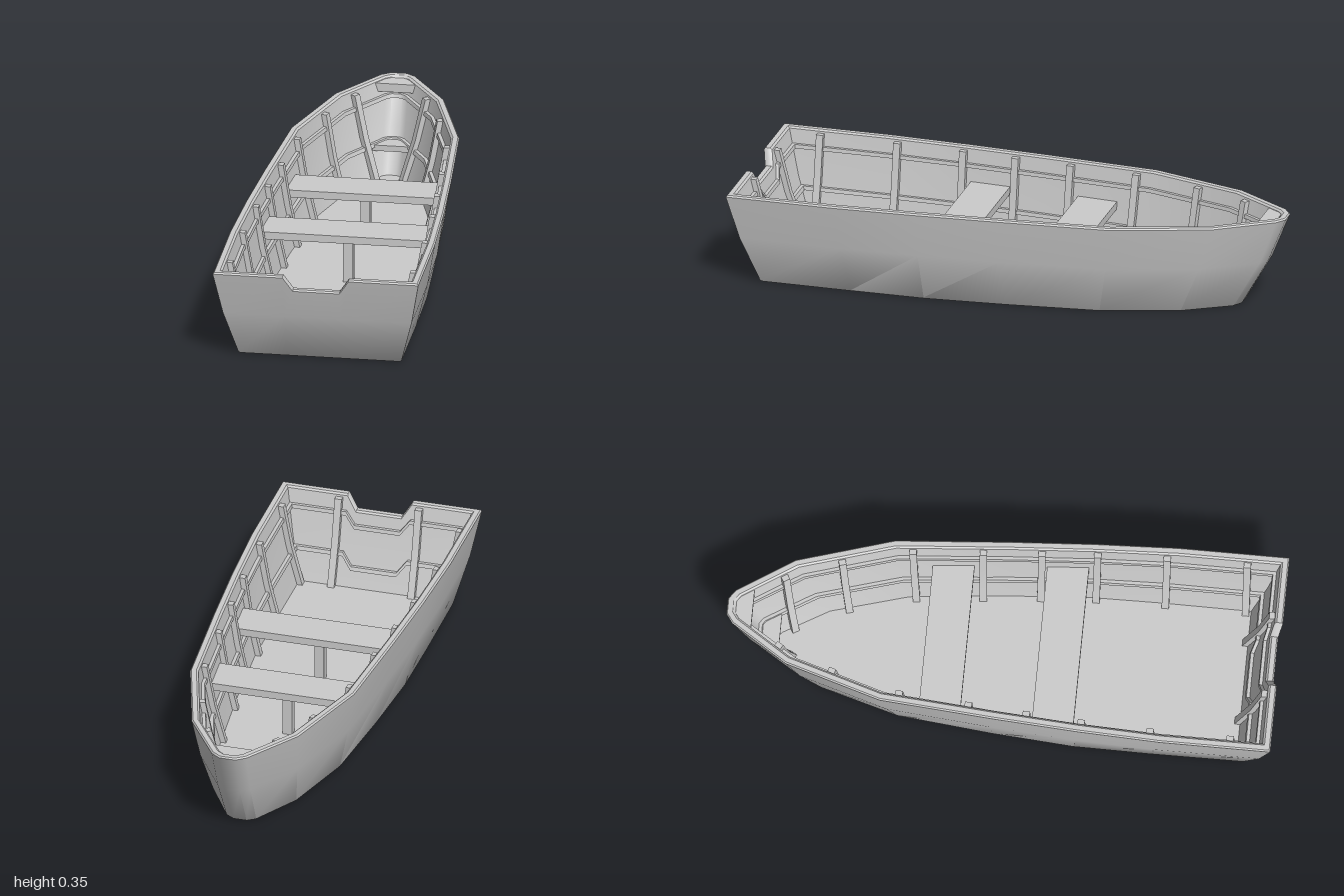
import * as THREE from 'three';
import { toCreasedNormals } from 'three/addons/utils/BufferGeometryUtils.js';

const H = 0.35, WALL = 0.03, FLOOR = 0.025;
const material = new THREE.MeshStandardMaterial({ color: 0xcccccc, roughness: 0.8 });
const lerp = THREE.MathUtils.lerp;

// Half outline from stern to bow: x, z at the gunwale, then x, z at the bottom
const stations = [
  [0.375, 1, 0.295, 0.89], [0.375, 0.6, 0.297, 0.55], [0.362, 0.3, 0.295, 0.28],
  [0.342, 0, 0.272, -0.02], [0.308, -0.42, 0.236, -0.36], [0.2, -0.77, 0.155, -0.64],
  [0.065, -0.975, 0.055, -0.81], [0.03, -1, 0.025, -0.83],
];
// Full outline: left side, bow, right side, then the transom with its notch
const mirrored = [...stations].reverse().map(([a, b, c, d]) => [-a, b, -c, d]);
const transom = [-0.12, -0.085, 0.085, 0.12].map((x) => [x, 1, x, 0.89]);
const columns = [...stations, ...mirrored, ...transom];
const N = columns.length;
const inNotch = (i) => i % N === 17 || i % N === 18;

// Flare of the sides: 0 at the bottom, 1 at the gunwale, slightly convex
const flare = (y) => (y < 0.18 ? (y / 0.18) * 0.6 : 0.6 + ((y - 0.18) / 0.17) * 0.4);

// Outline at height y, moved inward by an inset; returns [x, z] pairs
function ring(y, inset) {
  const t = flare(y);
  const p = columns.map(([a, b, c, d]) => [lerp(c, a, t), lerp(d, b, t)]);
  const normal = (i) => {
    const a = p[(i + N) % N], b = p[(i + 1) % N];
    const dx = b[0] - a[0], dz = b[1] - a[1], l = Math.hypot(dx, dz);
    return [dz / l, -dx / l];
  };
  return p.map(([x, z], i) => {
    const m = normal(i - 1), n = normal(i);
    const k = inset / (1 + m[0] * n[0] + m[1] * n[1]);
    return [x + (m[0] + n[0]) * k, z + (m[1] + n[1]) * k];
  });
}

// Surface through rows of points, each row closed on itself
function loft(rows, crease = 0.6) {
  const n = rows[0].length, index = [];
  for (let r = 0; r < rows.length - 1; r++) {
    for (let i = 0; i < n; i++) {
      const j = (i + 1) % n, a = r * n + i, b = r * n + j;
      index.push(a, b, b + n, a, b + n, a + n);
    }
  }
  const geometry = new THREE.BufferGeometry();
  geometry.setAttribute('position', new THREE.Float32BufferAttribute(rows.flat(2), 3));
  geometry.setIndex(index);
  return toCreasedNormals(geometry, crease);
}

// One row around the hull, with the height chosen per column
const hullRow = (heightAt, inset) =>
  columns.map((_, i) => {
    const y = heightAt(i), [x, z] = ring(y, inset)[i];
    return [x, y, z];
  });

function hullGeometry() {
  const level = (y) => () => y;
  const rim = (drop) => (i) => (inNotch(i) ? 0.295 : H) - drop;
  const centre = (row) => row.map(([, y, z]) => [0, y, z]);
  const keel = hullRow(level(0), 0.005);
  const floor = hullRow(level(FLOOR), WALL);
  return loft([
    centre(keel), keel, hullRow(level(0.006), 0), hullRow(level(0.18), 0),
    hullRow(rim(0.006), 0), hullRow(rim(0), 0.006), hullRow(rim(0), WALL - 0.006),
    hullRow(rim(0.006), WALL), hullRow(level(0.18), WALL), floor, centre(floor),
  ]);
}

// Stringer running round the inside, dipping under the notch
function railGeometry(y) {
  const at = (dy) => (i) => y + dy - (inNotch(i) ? 0.045 : 0);
  const a = 0.026, b = 0.042, h = 0.007;
  const rows = [[-h, a], [h, a], [h, b], [-h, b], [-h, a]];
  return loft(rows.map(([dy, inset]) => hullRow(at(dy), inset)));
}

// Rib against the inner wall; axis 1 places it by z on a side, axis 0 by x on the transom
function ribGeometry(first, last, axis, value) {
  const half = 0.013, depth = 0.024;
  const rows = [FLOOR, 0.1, 0.18, 0.26, 0.337].map((y) => {
    const p = ring(y, WALL - 0.004);
    const v = axis === 1 && value < 0 ? value * lerp(0.95, 1.01, flare(y)) : value;
    for (let i = first; i < last; i++) {
      const a = p[i % N], b = p[(i + 1) % N];
      if ((a[axis] - v) * (b[axis] - v) > 0) continue;
      const k = (v - a[axis]) / (b[axis] - a[axis]);
      const x = lerp(a[0], b[0], k), z = lerp(a[1], b[1], k);
      const l = Math.hypot(b[0] - a[0], b[1] - a[1]);
      const sx = (b[0] - a[0]) / l, sz = (b[1] - a[1]) / l;
      return [[-half, 0], [half, 0], [half, depth], [-half, depth]].map(
        ([s, n]) => [x + sx * s + sz * n, y, z + sz * s - sx * n]);
    }
    return null;
  }).filter(Boolean);
  const cap = (row) => {
    const c = [0, 1, 2].map((k) => row.reduce((sum, q) => sum + q[k], 0) / 4);
    return row.map(() => c);
  };
  return loft([cap(rows[0]), ...rows, cap(rows[rows.length - 1])]);
}

// Flat board fitted into the bow
function bowBoard(backX, backZ, frontX, frontZ, y, thickness) {
  const shape = new THREE.Shape([
    new THREE.Vector2(-backX, -backZ), new THREE.Vector2(backX, -backZ),
    new THREE.Vector2(frontX, -frontZ), new THREE.Vector2(-frontX, -frontZ),
  ]);
  return new THREE.ExtrudeGeometry(shape, { depth: thickness, bevelEnabled: false })
    .rotateX(-Math.PI / 2).translate(0, y, 0);
}

export function createModel() {
  const boat = new THREE.Group();
  boat.name = 'rowingBoat';
  const add = (name, geometry, x = 0, y = 0, z = 0) => {
    const mesh = new THREE.Mesh(geometry, material);
    mesh.name = name;
    mesh.position.set(x, y, z);
    boat.add(mesh);
  };

  add('hull', hullGeometry());
  add('upperRail', railGeometry(0.285));
  add('lowerRail', railGeometry(0.14));

  // Ribs along both sides and on the transom
  for (const z of [-0.8, -0.6, -0.35, -0.1, 0.11, 0.31, 0.56, 0.85]) {
    add('leftRib', ribGeometry(0, 7, 1, z));
    add('rightRib', ribGeometry(8, 15, 1, z));
  }
  add('rightTransomRib', ribGeometry(15, 16, 0, -0.15));
  add('leftTransomRib', ribGeometry(19, 20, 0, 0.15));

  // Thwarts, each on a centre post
  for (const [z, width] of [[-0.205, 0.56], [0.205, 0.64]]) {
    add('seat', new THREE.BoxGeometry(width, 0.028, 0.15), 0, 0.211, z);
    add('seatPost', new THREE.BoxGeometry(0.035, 0.18, 0.035), 0, 0.11, z);
  }

  // Boards in the bow
  add('breasthook', bowBoard(0.085, -0.905, 0.03, -0.965, 0.31, 0.032));
  add('bowStep', bowBoard(0.09, -0.805, 0.035, -0.88, 0.12, 0.022));
  return boat;
}
